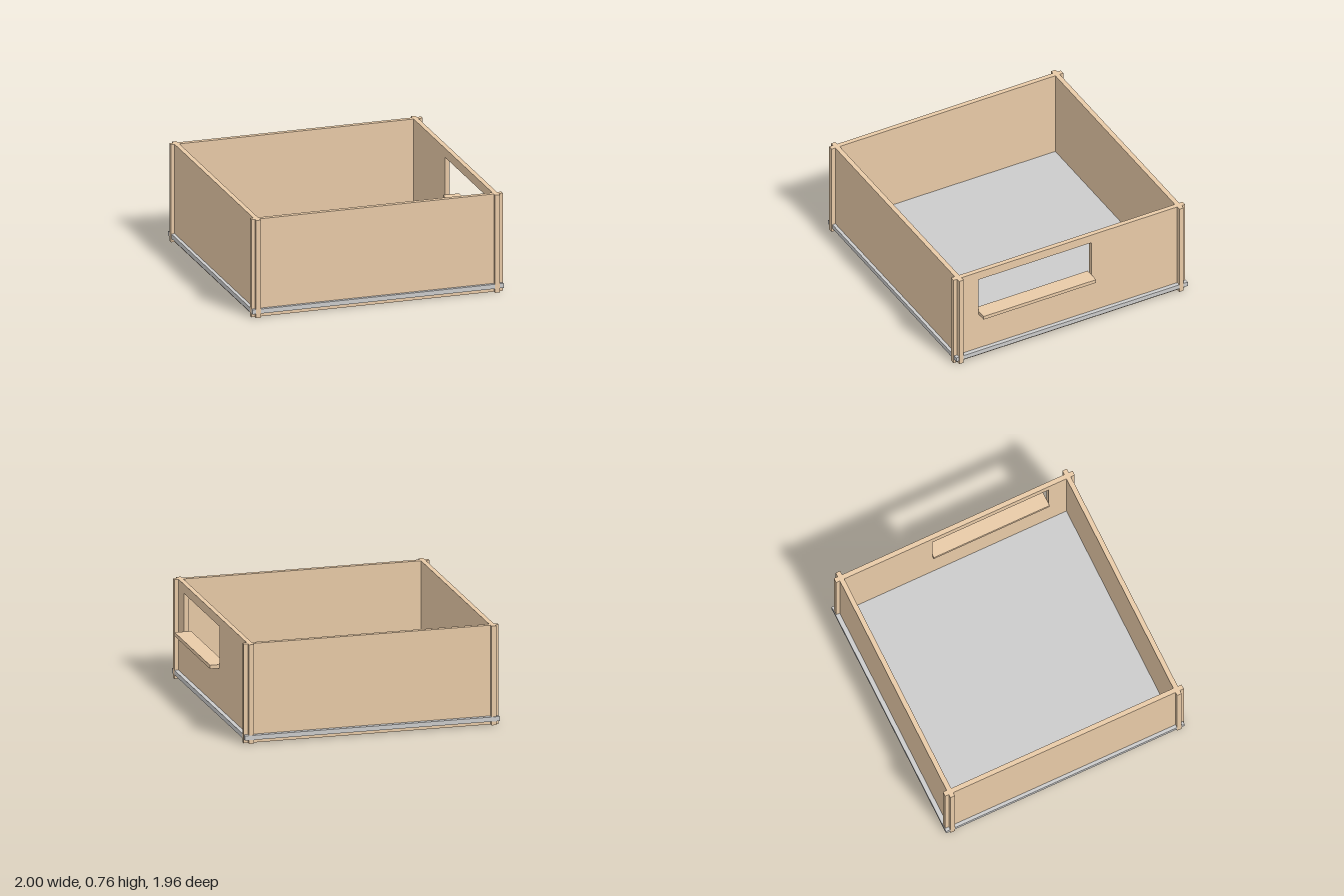
import * as THREE from 'three';

export function createModel() {
  const group = new THREE.Group();
  const wood = new THREE.MeshStandardMaterial({ color: 0xe8caa7 });
  const grey = new THREE.MeshStandardMaterial({ color: 0xcccccc });

  const H = 0.76; // wall height
  const T = 0.037; // board thickness

  // Box given by its low and high corners
  function board(name, material, [x0, y0, z0], [x1, y1, z1]) {
    const mesh = new THREE.Mesh(new THREE.BoxGeometry(x1 - x0, y1 - y0, z1 - z0), material);
    mesh.position.set((x0 + x1) / 2, (y0 + y1) / 2, (z0 + z1) / 2);
    mesh.name = name;
    group.add(mesh);
  }

  // Floor panel, slotted through the walls a little above the ground
  board('floor', grey, [-0.999, 0.03, -0.98], [0.959, 0.065, 0.974]);

  // Front and back walls, running past the side walls at the corners
  board('frontWall', wood, [-1, 0, 0.912], [0.96, H, 0.912 + T]);
  board('backWall', wood, [-1, 0, -0.945], [0.96, H, -0.945 + T]);

  // Plain side wall
  board('rightWall', wood, [-0.973, 0, -0.975], [-0.973 + T, H, 0.98]);

  // Side wall with the window; shape x is -z, shape y is height
  const rect = (PathType, x0, y0, x1, y1) =>
    new PathType().moveTo(x0, y0).lineTo(x1, y0).lineTo(x1, y1).lineTo(x0, y1).closePath();
  const outline = rect(THREE.Shape, -0.98, 0, 0.975, H);
  outline.holes.push(rect(THREE.Path, -0.767, 0.37, 0.185, 0.69));
  const windowWall = new THREE.Mesh(
    new THREE.ExtrudeGeometry(outline, { depth: T, bevelEnabled: false }), wood);
  windowWall.rotation.y = Math.PI / 2;
  windowWall.position.x = 0.89;
  windowWall.name = 'windowWall';
  group.add(windowWall);

  // Sill filling the bottom of the window and sticking out on both sides
  board('windowSill', wood, [0.873, 0.37, -0.183], [1, 0.398, 0.766]);

  return group;
}
